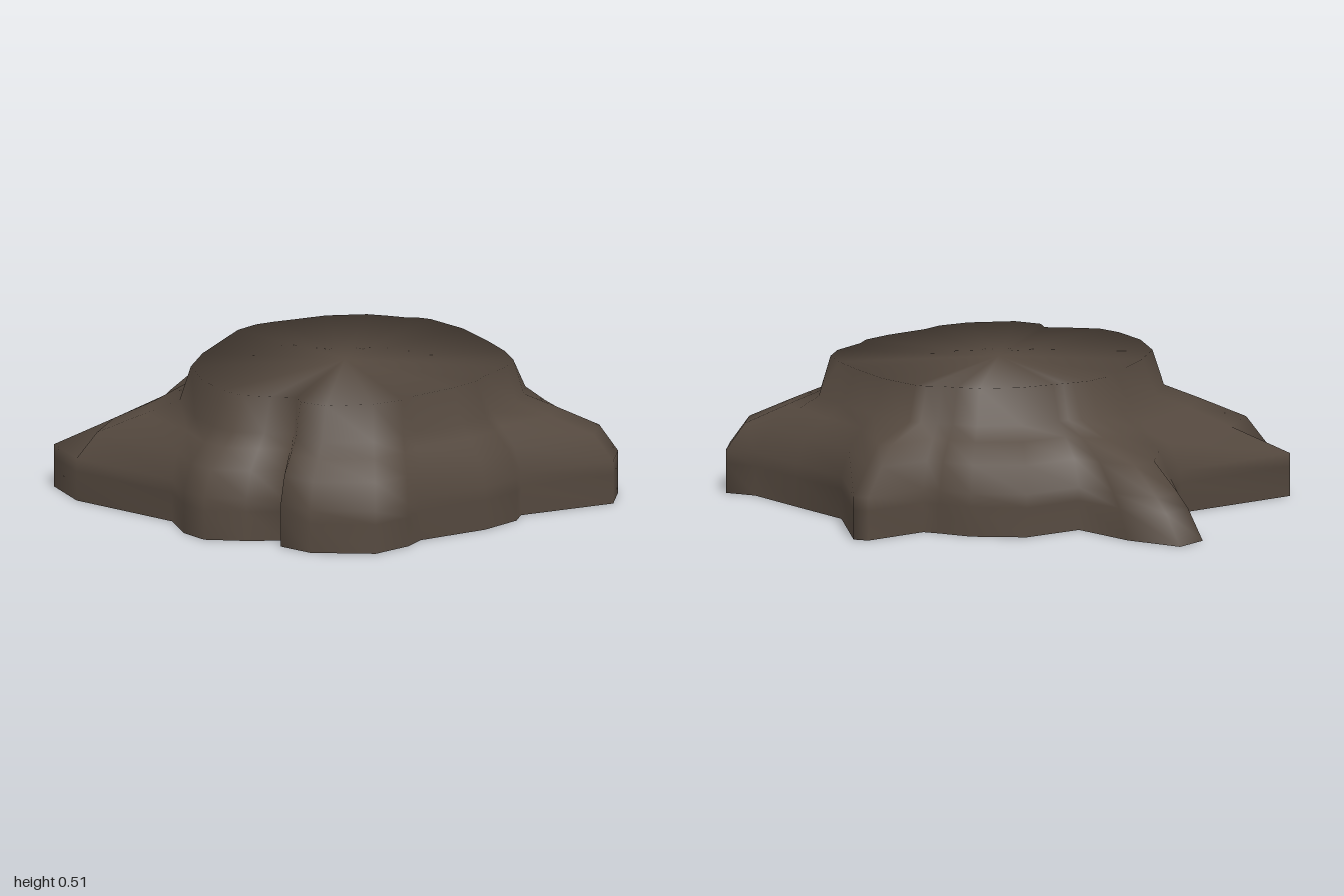
import * as THREE from 'three';

// Ring heights, and how far each ring has moved from base outline to rim.
const heights = [0, 0.11, 0.16, 0.26, 0.33, 0.38, 0.51];
const wall = [0, 0, 0, 0.18, 0.52, 0.76, 1];
const longRoot = [0, 0.13, 0.22, 0.43, 0.7, 0.92, 1];
const backRoot = [0, 0, 0, 0.23, 0.4, 0.9, 1];
const corner = [0, 0, 0, 0.18, 0.59, 0.9, 1];
const frontRoot = [0, 0, 0, 0.4, 0.68, 0.9, 1];

// Outline going left, back, right, front: base x, base z, rim x, rim z, profile.
const outline = [
  // long root and the shoulder behind it
  [-1, -0.08, -0.33, -0.04, longRoot], [-0.78, -0.15, -0.32, -0.08, longRoot],
  [-0.51, -0.16, -0.31, -0.12, wall], [-0.5, -0.4, -0.28, -0.25, wall],
  [-0.36, -0.55, -0.2, -0.38, wall], [-0.24, -0.6, -0.13, -0.43, wall],
  [-0.18, -0.63, -0.08, -0.46, wall],
  // back root
  [-0.18, -0.89, -0.04, -0.5, backRoot], [-0.13, -0.92, 0, -0.52, backRoot],
  // back wall and back corner
  [0.21, -0.7, 0.18, -0.53, wall], [0.5, -0.68, 0.38, -0.49, wall],
  [0.76, -0.66, 0.53, -0.45, wall], [0.87, -0.71, 0.64, -0.4, corner],
  [0.98, -0.6, 0.71, -0.31, corner],
  // side wall
  [0.9, -0.23, 0.76, -0.16, wall], [0.95, -0.17, 0.8, -0.1, wall],
  [0.98, 0, 0.82, 0.02, wall], [0.95, 0.28, 0.82, 0.2, wall],
  // two front lobes with a fold between
  [0.99, 0.37, 0.84, 0.28, wall], [1, 0.53, 0.82, 0.4, wall],
  [0.84, 0.71, 0.73, 0.55, wall], [0.7, 0.74, 0.63, 0.59, wall],
  [0.64, 0.68, 0.57, 0.56, wall], [0.56, 0.79, 0.5, 0.63, wall],
  [0.45, 0.9, 0.42, 0.7, wall], [0.33, 0.9, 0.32, 0.71, wall],
  [0.17, 0.83, 0.16, 0.68, wall],
  // front root, back to the long root
  [-0.28, 0.92, -0.02, 0.59, corner], [-0.49, 0.86, -0.14, 0.44, frontRoot],
  [-0.49, 0.34, -0.28, 0.2, wall], [-0.59, 0.21, -0.32, 0.13, wall],
  [-0.96, 0.06, -0.34, 0.03, longRoot],
];

function stumpGeometry() {
  const n = outline.length;
  const positions = [];
  const index = [];
  heights.forEach((y, r) => {
    for (const [bx, bz, rx, rz, profile] of outline) {
      const t = profile[r];
      positions.push(bx + (rx - bx) * t, y, bz + (rz - bz) * t);
    }
  });
  const centre = positions.length / 3;
  positions.push(0.25, heights.at(-1), 0.08);

  // Flared walls
  for (let r = 0; r < heights.length - 1; r++) {
    for (let i = 0; i < n; i++) {
      const j = (i + 1) % n;
      const a = r * n + i, b = r * n + j, c = b + n, d = a + n;
      index.push(a, c, b, a, d, c);
    }
  }
  const geometry = new THREE.BufferGeometry();
  geometry.setAttribute('position', new THREE.Float32BufferAttribute(positions, 3));
  geometry.setIndex(index);
  geometry.computeVertexNormals();

  // Flat top, keeping the wall normals at its rim for a rounded look
  const rim = centre - n;
  for (let i = 0; i < n; i++) index.push(centre, rim + (i + 1) % n, rim + i);
  geometry.setIndex(index);
  geometry.attributes.normal.setXYZ(centre, 0, 1, 0);
  return geometry;
}

export function createModel() {
  const model = new THREE.Group();
  model.name = 'treeStump';

  // Hollow shell, open underneath
  const bark = new THREE.MeshStandardMaterial({ color: 0x55493f, side: THREE.DoubleSide });
  bark.name = 'darkBark';
  const stump = new THREE.Mesh(stumpGeometry(), bark);
  stump.name = 'stumpWithRoots';
  model.add(stump);
  return model;
}
